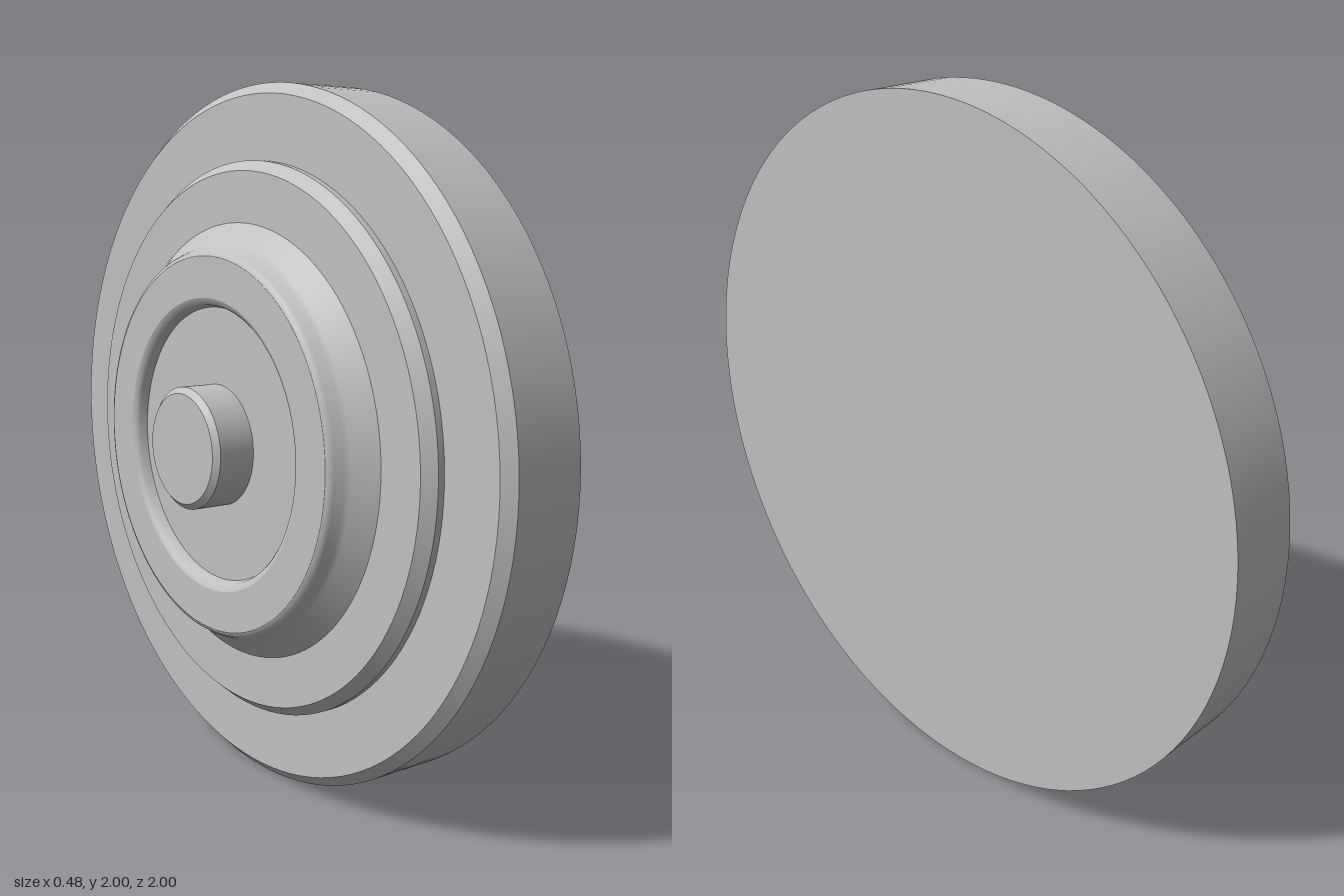
import * as THREE from 'three';

export function createModel() {
  const grey = new THREE.MeshStandardMaterial({ color: 0xc0c0c0 });
  grey.name = 'plain grey';

  const model = new THREE.Group();
  model.name = 'steppedDisc';

  // Each part is a list of surface bands, split at its sharp edges.
  // Points are [radius, height toward -x].
  function addPart(name, bands) {
    const part = new THREE.Group();
    part.name = name;
    part.position.y = 1;
    part.rotation.z = Math.PI / 2; // lathe axis turned to -x
    bands.forEach((band, i) => {
      const points = band.map(([r, h]) => new THREE.Vector2(r, h));
      const mesh = new THREE.Mesh(new THREE.LatheGeometry(points, 128), grey);
      mesh.name = `${name}Surface${i + 1}`;
      part.add(mesh);
    });
    model.add(part);
  }

  // Turns a profile into bands with a sharp edge at every point
  const sharp = (profile) => profile.slice(1).map((p, i) => [profile[i], p]);

  // Wide disc with a flat face on +x and a chamfered rim
  addPart('mainDisc', sharp([[0, -0.24], [1, -0.24], [1, -0.03], [0.97, 0], [0.79, 0]]));

  // Thin chamfered step
  addPart('step', sharp([[0.79, 0], [0.79, 0.02], [0.762, 0.052], [0.62, 0.052]]));

  // Raised ring: flared outer side, flat top, rounded lip and shallow recess
  addPart('raisedRing', [
    [[0.62, 0.052], [0.567, 0.106], [0.558, 0.118], [0.547, 0.142], [0.541, 0.152], [0.53, 0.157]],
    [[0.53, 0.157], [0.415, 0.157]],
    [[0.415, 0.157], [0.403, 0.152], [0.395, 0.143], [0.388, 0.12]],
    [[0.388, 0.12], [0.17, 0.12]],
  ]);

  // Central stub with a chamfered end
  addPart('stub', sharp([[0.172, 0.12], [0.172, 0.228], [0.155, 0.243], [0, 0.243]]));

  return model;
}
